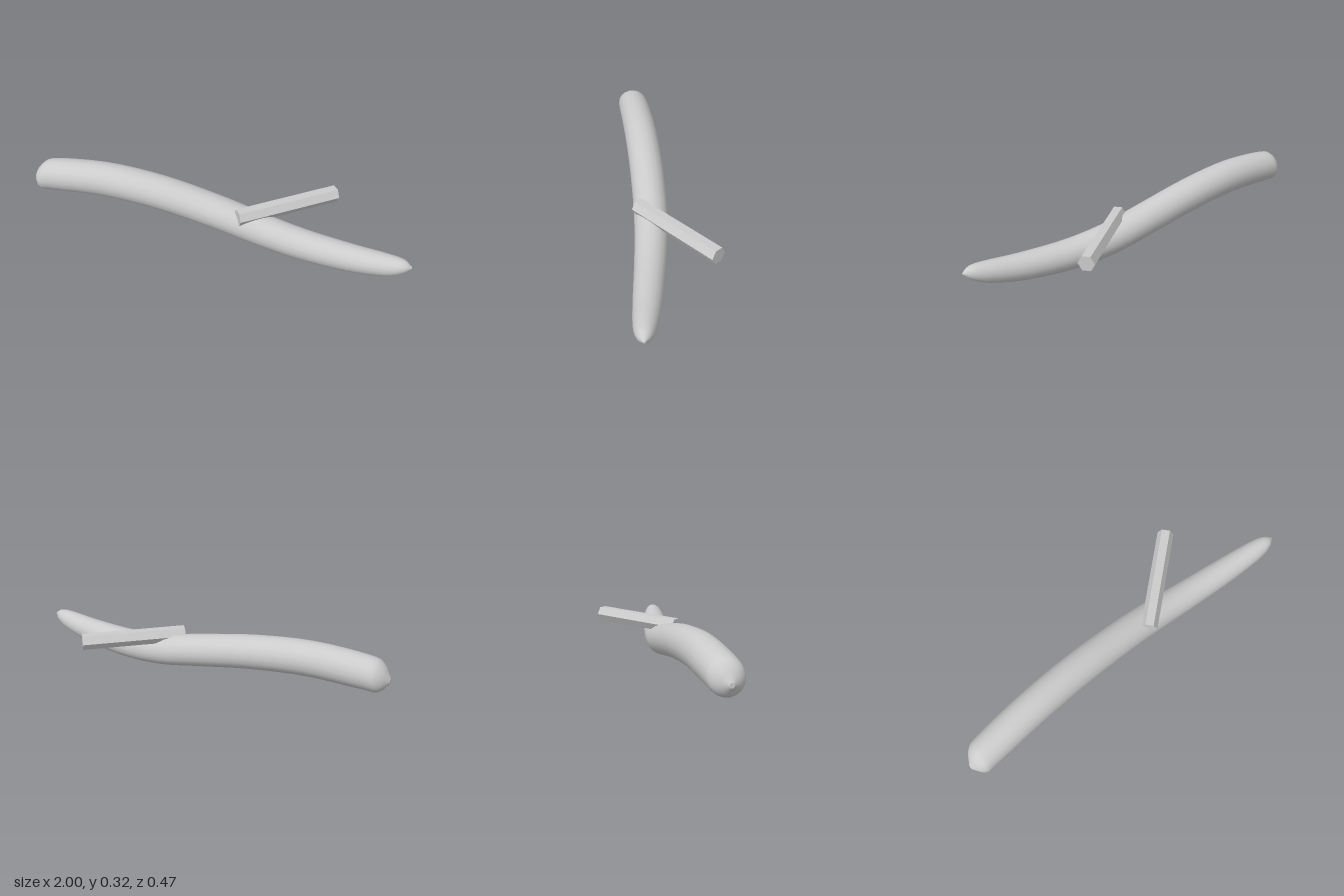
import * as THREE from 'three';

// Branch stations: x, y, z of the centre, and radius
const STATIONS = [
  [-1, 0.2, 0.157, 0.012],
  [-0.955, 0.209, 0.153, 0.072],
  [-0.88, 0.225, 0.145, 0.086],
  [-0.6, 0.24, 0.12, 0.09],
  [-0.3, 0.213, 0.099, 0.09],
  [0, 0.156, 0.088, 0.088],
  [0.22, 0.109, 0.09, 0.085],
  [0.45, 0.083, 0.106, 0.079],
  [0.7, 0.086, 0.129, 0.07],
  [0.88, 0.107, 0.147, 0.056],
  [0.96, 0.124, 0.154, 0.036],
  [1, 0.13, 0.157, 0.005],
];

// Swept round branch, made by moving the rings of a cylinder
function branchGeometry(sides, rings) {
  const centres = new THREE.CatmullRomCurve3(
    STATIONS.map(([x, y, z]) => new THREE.Vector3(x, y, z)), false, 'catmullrom');
  const radii = new THREE.CatmullRomCurve3(
    STATIONS.map((s) => new THREE.Vector3(s[3], 0, 0)), false, 'catmullrom');
  const geometry = new THREE.CylinderGeometry(1, 1, 1, sides, rings);
  const pos = geometry.attributes.position;
  for (let i = 0; i < pos.count; i++) {
    const t = THREE.MathUtils.clamp(0.5 - pos.getY(i), 0, 1);
    const c = centres.getPoint(t);
    const r = radii.getPoint(t).x;
    // cylinder top goes to the thick end at -x
    pos.setXYZ(i, c.x, c.y + r * pos.getX(i), c.z + r * pos.getZ(i));
  }
  geometry.computeVertexNormals();
  // share normals across the seam
  const n = geometry.attributes.normal;
  for (let j = 0; j <= rings; j++) {
    const a = j * (sides + 1), b = a + sides;
    const v = new THREE.Vector3().fromBufferAttribute(n, a)
      .add(new THREE.Vector3().fromBufferAttribute(n, b)).normalize();
    n.setXYZ(a, v.x, v.y, v.z);
    n.setXYZ(b, v.x, v.y, v.z);
  }
  return geometry;
}

export function createModel() {
  const group = new THREE.Group();
  group.name = 'branch';
  const wood = new THREE.MeshStandardMaterial({ color: 0xcccccc });
  wood.name = 'pale grey wood';

  const mainBranch = new THREE.Mesh(branchGeometry(18, 44), wood);
  mainBranch.name = 'mainBranch';
  group.add(mainBranch);

  // Six-sided twig lying level, with a flat face on top
  const start = new THREE.Vector3(0.128, 0.199, 0.151);
  const end = new THREE.Vector3(0.543, 0.199, -0.206);
  const twigGeometry = new THREE.CylinderGeometry(0.043, 0.043, start.distanceTo(end), 6)
    .rotateX(Math.PI / 2).toNonIndexed();
  twigGeometry.rotateZ(Math.PI / 6);
  // turn so that corners point sideways
  const p = twigGeometry.attributes.position;
  let top = 0;
  for (let i = 0; i < p.count; i++) top = Math.max(top, p.getY(i));
  if (top > 0.04) twigGeometry.rotateZ(Math.PI / 6);
  twigGeometry.computeVertexNormals();
  const twig = new THREE.Mesh(twigGeometry, wood);
  twig.name = 'twig';
  twig.position.copy(start).add(end).multiplyScalar(0.5);
  twig.lookAt(end);
  group.add(twig);

  return group;
}
